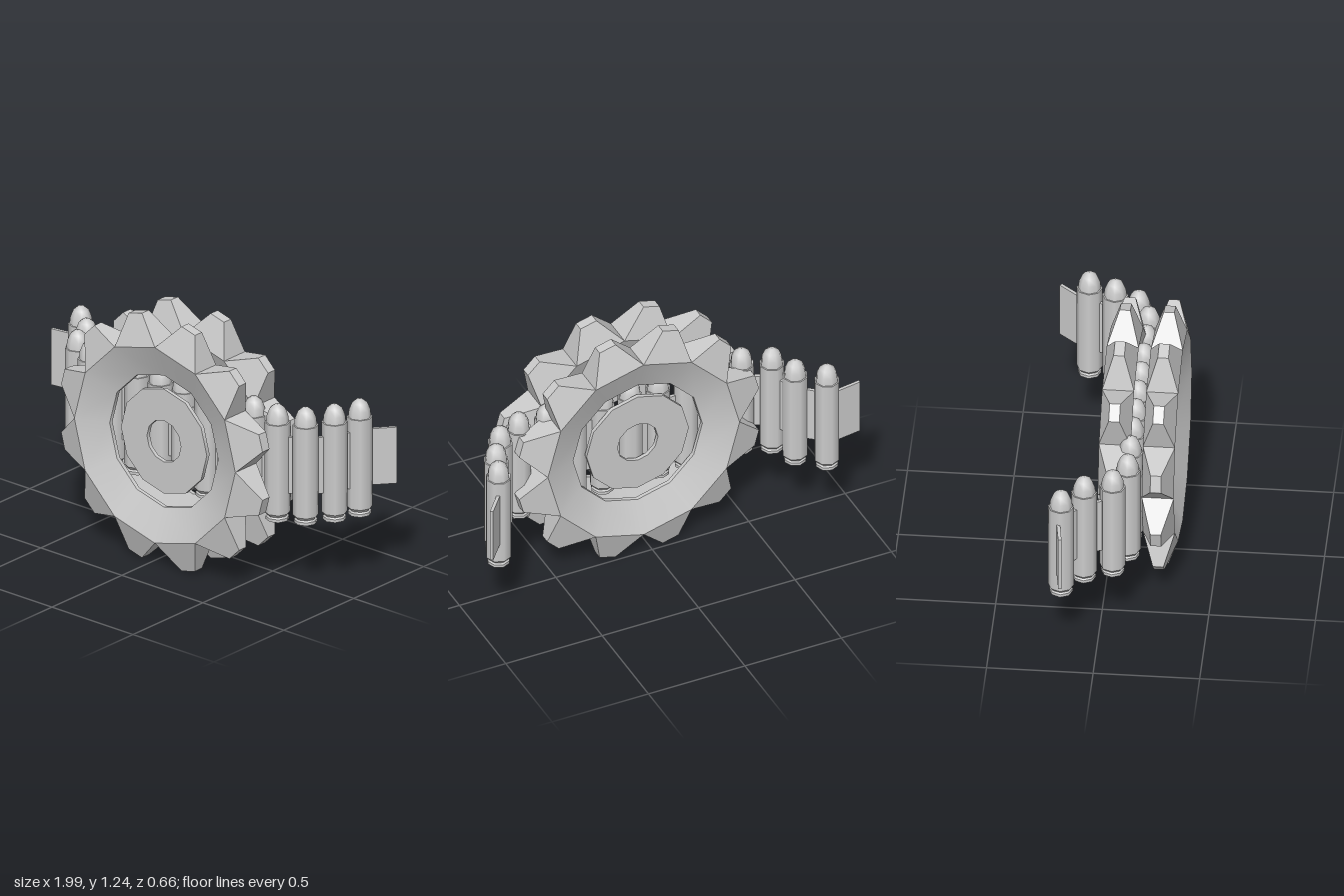
import * as THREE from 'three';

const gearMat = new THREE.MeshStandardMaterial({ color: 0xcccccc, flatShading: true });
const smoothMat = new THREE.MeshStandardMaterial({ color: 0xcccccc });

const SIDES = 12, THICK = 0.15, WEB = 0.02, RIM = 0.497;

// Turned part: each profile of [radius, height] points is smooth in itself,
// and the edges between profiles stay sharp
function turned(name, profiles, sides) {
  const part = new THREE.Group();
  part.name = name;
  for (const profile of profiles) {
    const pts = profile.map(([r, y]) => new THREE.Vector2(r, y));
    const mesh = new THREE.Mesh(new THREE.LatheGeometry(pts, sides), smoothMat);
    mesh.name = name + 'Surface';
    part.add(mesh);
  }
  return part;
}

// Tooth: a box covering one rim side, tapering to a small blunt tip
function toothGeometry() {
  const base = RIM * Math.cos(Math.PI / SIDES), tip = 0.632;
  const chord = 2 * RIM * Math.sin(Math.PI / SIDES);
  const geo = new THREE.BoxGeometry(chord, tip - base, THICK);
  geo.translate(0, (tip + base) / 2, 0);
  const p = geo.attributes.position;
  for (let i = 0; i < p.count; i++) {
    if (p.getY(i) < (tip + base) / 2) continue;
    p.setX(i, Math.sign(p.getX(i)) * 0.0425);
    p.setZ(i, Math.sign(p.getZ(i)) * 0.025);
  }
  geo.computeVertexNormals();
  return geo;
}

function makeGear(name, z) {
  const gear = new THREE.Group();
  gear.name = name;
  const t = THICK / 2, w = WEB / 2, inner = 0.335, hub = 0.265, bore = 0.105;
  // Rim dished on both faces, down to a thin inner edge
  const rim = turned('gearRim', [
    [[inner, -w], [RIM, -t]], [[RIM, t], [inner, w]], [[inner, w], [inner, -w]],
  ], SIDES);
  // Thin flat disc in the middle plane
  const disc = turned('gearHub', [
    [[bore, -w], [hub, -w]], [[hub, -w], [hub, w]], [[hub, w], [bore, w]], [[bore, w], [bore, -w]],
  ], SIDES);
  for (const part of [rim, disc]) {
    part.rotation.x = Math.PI / 2;
    gear.add(part);
  }
  const geo = toothGeometry();
  for (let i = 0; i < SIDES; i++) {
    const tooth = new THREE.Mesh(geo, gearMat);
    tooth.name = 'gearTooth';
    tooth.rotation.z = ((i + 0.5) * Math.PI * 2) / SIDES;
    gear.add(tooth);
  }
  gear.position.set(0.057, 0.6225, z);
  return gear;
}

function makeCartridge() {
  const g = new THREE.Group();
  g.name = 'cartridge';
  g.add(
    turned('cartridgeBase', [
      [[0, 0.345], [0.055, 0.345]], [[0.055, 0.345], [0.055, 0.36]],
      [[0.055, 0.36], [0.049, 0.368]], [[0.049, 0.368], [0.061, 0.383]],
    ], 8),
    turned('cartridgeCase', [
      [[0.061, 0.383], [0.061, 0.838]], [[0.061, 0.838], [0.054, 0.838]],
    ], 8),
    turned('cartridgeTip', [
      [[0.054, 0.838], [0.05, 0.873], [0.036, 0.908], [0.015, 0.924], [0, 0.926]],
    ], 8),
  );
  return g;
}

// Thin upright link plate between two points of the belt (x, z)
function makeLink(a, b, name) {
  const dx = b[0] - a[0], dz = b[1] - a[1];
  const mesh = new THREE.Mesh(new THREE.BoxGeometry(Math.hypot(dx, dz), 0.285, 0.016), gearMat);
  mesh.name = name;
  mesh.position.set((a[0] + b[0]) / 2, 0.625, (a[1] + b[1]) / 2);
  mesh.rotation.y = -Math.atan2(dz, dx);
  return mesh;
}

export function createModel() {
  const model = new THREE.Group();
  model.name = 'gearsWithCartridgeBelt';
  model.add(makeGear('frontGear', 0.255), makeGear('backGear', 0.048));

  // Belt: straight between the gears, bending backwards at both ends
  const path = [[-0.826, -0.165], [-0.708, -0.067], [-0.65, 0.062]];
  for (let i = 0; i < 9; i++) path.push([-0.521 + i * 0.1444, 0.122]);
  path.push([0.758, 0.064], [0.835, -0.053], [0.883, -0.178]);

  const belt = new THREE.Group();
  belt.name = 'cartridgeBelt';
  const cartridge = makeCartridge();
  path.forEach(([x, z], i) => {
    const c = cartridge.clone();
    c.position.set(x, 0, z);
    belt.add(c);
    if (i) belt.add(makeLink(path[i - 1], [x, z], 'beltLink'));
  });
  belt.add(makeLink([-0.998, -0.156], [-0.85, -0.178], 'rightEndPlate'));
  belt.add(makeLink([0.89, -0.205], [0.988, -0.322], 'leftEndPlate'));
  model.add(belt);
  return model;
}
